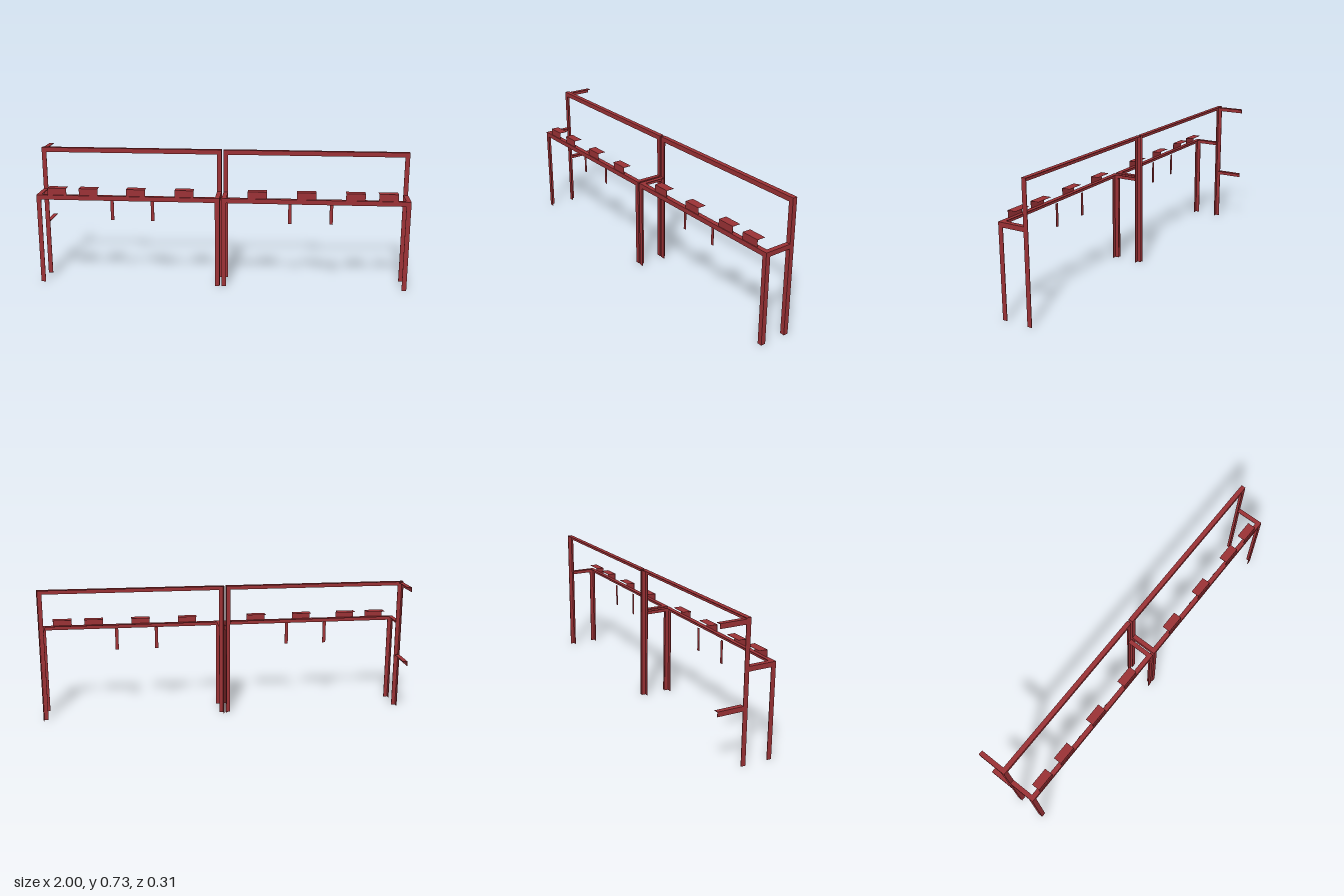
import * as THREE from 'three';

const W = 0.025; // flange width of the angle iron
const T = 0.003; // flange thickness

export function createModel() {
  const model = new THREE.Group();
  model.name = 'steelFrame';
  const paint = new THREE.MeshStandardMaterial({ color: 0x9c3236 });
  paint.name = 'red oxide paint';

  const section = new THREE.Shape([
    [0, 0], [W, 0], [W, T], [T, T], [T, W], [0, W],
  ].map(([x, y]) => new THREE.Vector2(x, y)));

  // Angle iron: outer corner line starts at "start" and runs "length" along "dir";
  // the two flanges extend from that corner along a and b.
  function angleIron(name, parent, start, dir, length, a, b) {
    const d = new THREE.Vector3(...dir);
    let u = new THREE.Vector3(...a);
    let v = new THREE.Vector3(...b);
    if (u.clone().cross(v).dot(d) < 0) [u, v] = [v, u];
    const geo = new THREE.ExtrudeGeometry(section, { depth: length, bevelEnabled: false });
    geo.applyMatrix4(new THREE.Matrix4().makeBasis(u, v, d).setPosition(...start));
    const mesh = new THREE.Mesh(geo, paint);
    mesh.name = name;
    parent.add(mesh);
  }

  function box(name, parent, x0, x1, y0, y1, z0, z1) {
    const mesh = new THREE.Mesh(new THREE.BoxGeometry(x1 - x0, y1 - y0, z1 - z0), paint);
    mesh.position.set((x0 + x1) / 2, (y0 + y1) / 2, (z0 + z1) / 2);
    mesh.name = name;
    parent.add(mesh);
  }

  const frontZ = 0.155, backZ = 0.008;      // front faces of the two leg rows
  const railTop = 0.495, postTop = 0.727;
  const up = [0, 1, 0], down = [0, -1, 0], back = [0, 0, -1], right = [1, 0, 0];

  const bays = [
    { name: 'rightBay', x0: -1, x1: -0.008, plates: [-0.938, -0.767, -0.51, -0.249], hangers: [-0.602, -0.382] },
    { name: 'leftBay', x0: 0.003, x1: 1, plates: [0.142, 0.402, 0.66, 0.832], hangers: [0.358, 0.578] },
  ];

  for (const { name, x0, x1, plates, hangers } of bays) {
    const bay = new THREE.Group();
    bay.name = name;
    model.add(bay);

    // Legs, posts and cross ties at both ends
    for (const [x, s] of [[x0, 1], [x1, -1]]) {
      const inward = [s, 0, 0];
      angleIron('frontLeg', bay, [x, 0, frontZ], up, railTop - W, inward, back);
      angleIron('rearPost', bay, [x, 0, backZ], up, postTop, inward, back);
      angleIron('crossTie', bay, [x, railTop, frontZ], back, frontZ - backZ, inward, down);
    }
    // Long rails
    angleIron('frontRail', bay, [x0, railTop, frontZ], right, x1 - x0, down, back);
    angleIron('topRail', bay, [x0, postTop, backZ], right, x1 - x0, down, back);

    // Thin bent brackets standing on the front rail
    for (const x of plates) {
      box('bracketUpright', bay, x, x + 0.102, railTop - 0.01, 0.533, 0.1495, 0.1505);
      box('bracketShelf', bay, x, x + 0.102, 0.532, 0.533, 0.105, 0.1505);
    }
    // Flat hanger strips behind the front rail
    for (const x of hangers) box('hangerStrip', bay, x, x + 0.018, 0.355, 0.478, 0.1245, 0.126);
  }

  // Rear arms on the right end
  for (const y of [0.721, 0.305]) {
    angleIron('rearArm', model, [-1, y, backZ - W + T], back, 0.141, right, down);
  }
  return model;
}
